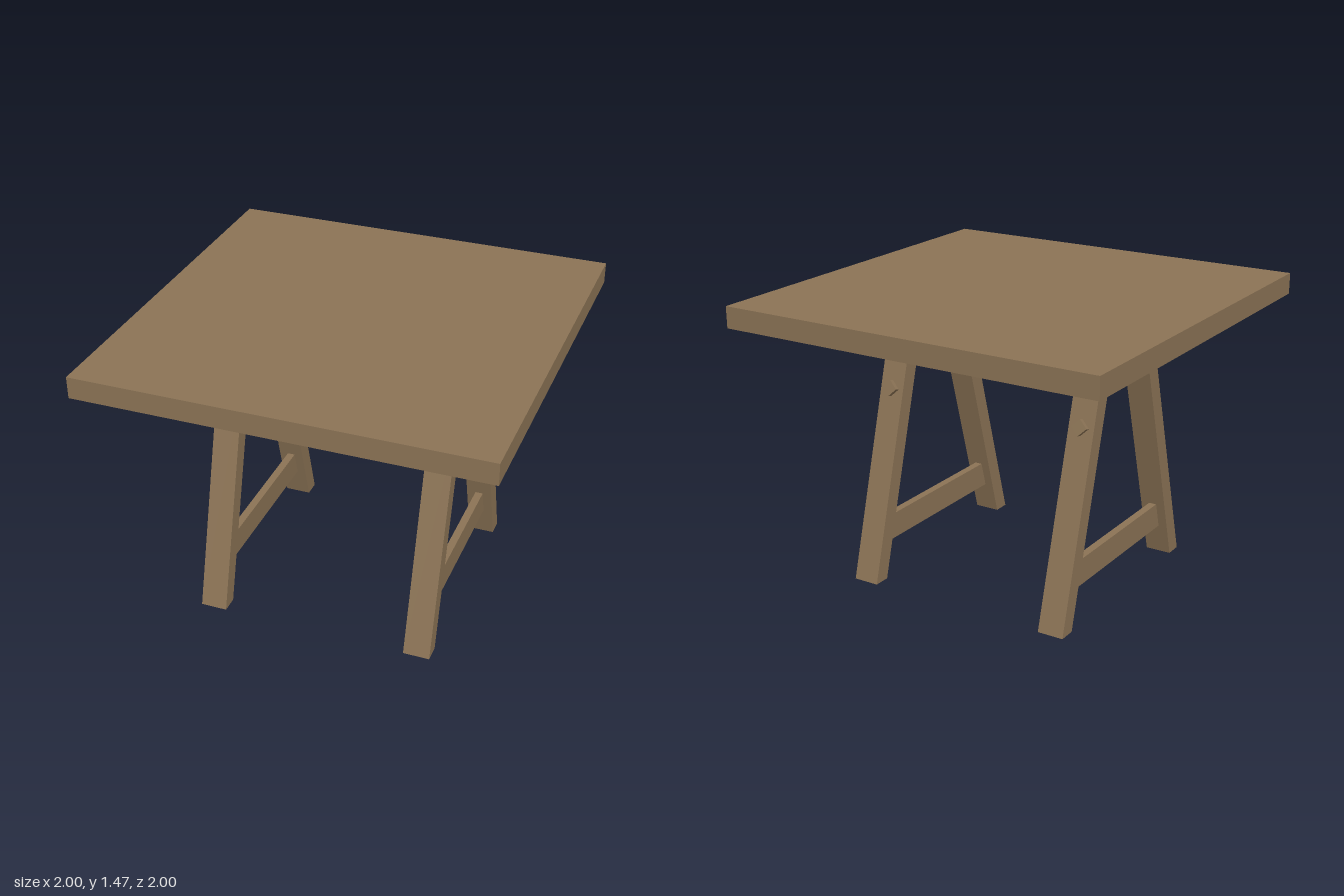
import * as THREE from 'three';
import { toCreasedNormals } from 'three/addons/utils/BufferGeometryUtils.js';

const wood = new THREE.MeshStandardMaterial({ color: 0x8b7355 });
wood.name = 'brown wood';

function part(name, geometry) {
  const mesh = new THREE.Mesh(geometry, wood);
  mesh.name = name;
  return mesh;
}

// Extrudes a side profile of [z, y] points along x, centred on x = 0
function sideProfile(points, width) {
  const shape = new THREE.Shape(points.map(([z, y]) => new THREE.Vector2(z, y)));
  const geometry = new THREE.ExtrudeGeometry(shape, { depth: width, bevelEnabled: false });
  return geometry.translate(0, 0, -width / 2).rotateY(-Math.PI / 2);
}

function createTrestle() {
  const trestle = new THREE.Group();

  // Bearer with stepped, softly shaded chamfered ends
  const half = [[0.505, 1.2], [0.573, 1.268], [0.573, 1.312], [0.607, 1.312], [0.607, 1.366]];
  const mirrored = half.map(([z, y]) => [-z, y]).reverse();
  trestle.add(part('bearer', toCreasedNormals(sideProfile([...half, ...mirrored], 0.24), 0.9)));

  // Stretcher whose top edge just breaks through the legs
  const stretcher = part('stretcher', new THREE.BoxGeometry(0.04, 0.135, 1.046));
  stretcher.position.y = 0.232;
  trestle.add(stretcher);

  // Splayed legs, each with a diamond-set peg on its outer face
  for (const [side, turn] of [['front', 0], ['back', Math.PI]]) {
    const legGroup = new THREE.Group();
    legGroup.name = side + 'LegAssembly';
    legGroup.rotation.y = turn;
    const legPoints = [[0.52, 0], [0.607, 0], [0.27, 1.202], [0.183, 1.202]];
    legGroup.add(part(side + 'Leg', sideProfile(legPoints, 0.135)));

    const peg = part(side + 'Peg', new THREE.BoxGeometry(0.057, 0.057, 0.06).rotateZ(Math.PI / 4));
    peg.position.set(0, 0.96, 0.332);
    peg.rotation.x = -Math.atan2(0.337, 1.202);
    legGroup.add(peg);
    trestle.add(legGroup);
  }
  return trestle;
}

export function createModel() {
  const table = new THREE.Group();
  table.name = 'trestleTable';

  // Square top
  const top = part('tableTop', new THREE.BoxGeometry(2, 0.108, 2));
  top.position.y = 1.42;
  table.add(top);

  // Matching trestles
  for (const [name, x] of [['rightTrestle', -0.545], ['leftTrestle', 0.545]]) {
    const trestle = createTrestle();
    trestle.name = name;
    trestle.position.x = x;
    table.add(trestle);
  }
  return table;
}
